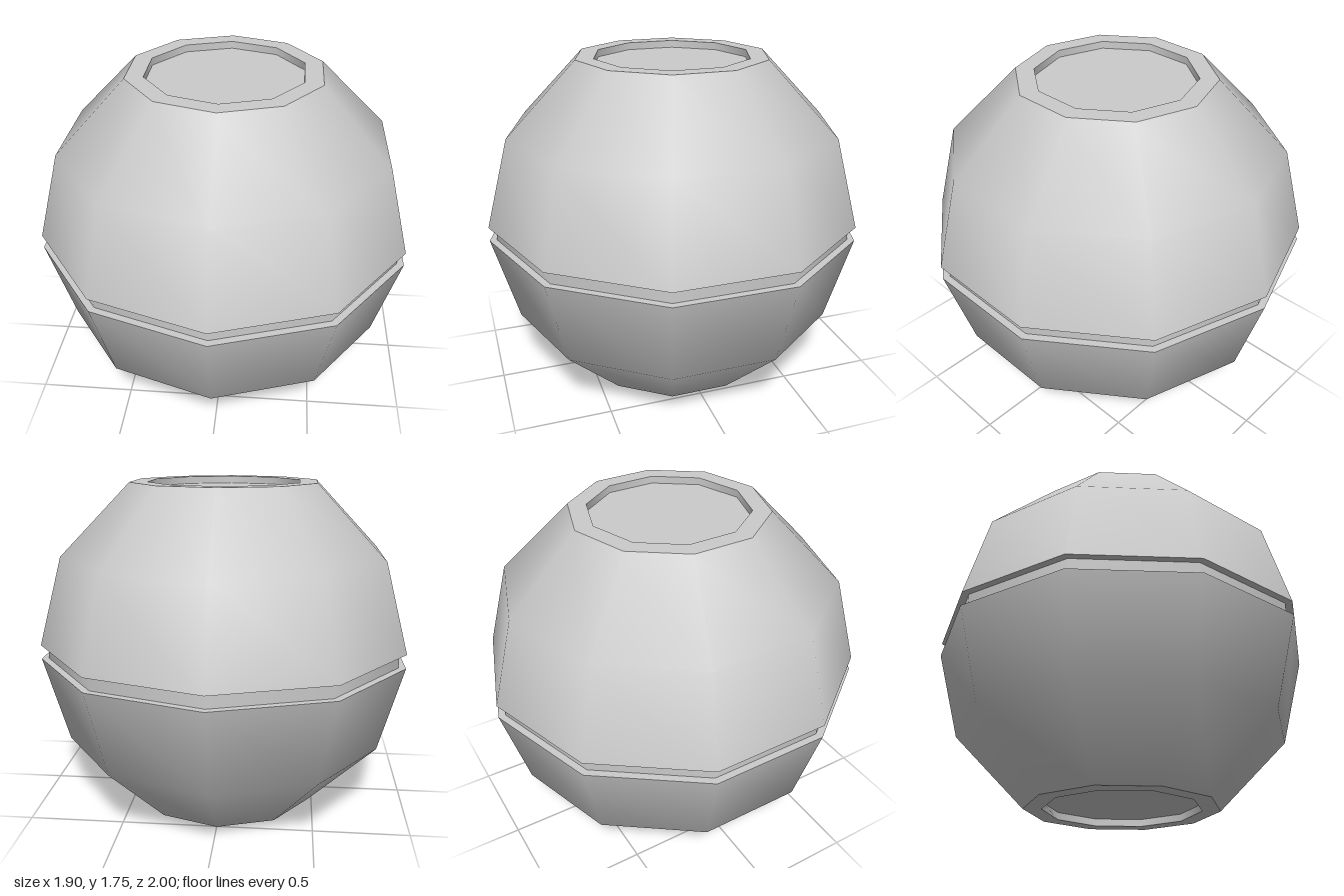
import * as THREE from 'three';
import { mergeGeometries } from 'three/addons/utils/BufferGeometryUtils.js';

const SIDES = 10;
const HEIGHT = 1.75;
const material = new THREE.MeshStandardMaterial({ color: 0xcccccc });

// Each strip is its own lathe: smooth within a strip, sharp between strips.
function latheMesh(name, strips) {
  const parts = strips.map(strip =>
    new THREE.LatheGeometry(strip.map(([r, y]) => new THREE.Vector2(r, y)), SIDES));
  const mesh = new THREE.Mesh(mergeGeometries(parts), material);
  mesh.name = name;
  return mesh;
}

// Mirror strips to the upper half, reversing them so they still face outward.
const mirror = strips => strips.map(s => s.map(([r, y]) => [r, HEIGHT - y]).reverse());

export function createModel() {
  const group = new THREE.Group();
  group.name = 'facetedOrb';

  const rim = 0.505, hole = 0.41, recess = 0.038;
  const seam = 0.838, grooveRadius = 0.962;

  const half = [
    [[0, recess], [hole, recess]],            // recessed floor
    [[hole, recess], [hole, 0]],              // recess wall
    [[hole, 0], [rim, 0]],                    // flat rim
    [[rim, 0], [0.873, 0.372], [1, seam]],    // outer shell
    [[1, seam], [grooveRadius, seam]],        // groove ledge
  ];

  group.add(latheMesh('lowerShell', half));
  group.add(latheMesh('upperShell', mirror(half)));

  // Band at the bottom of the equator groove
  group.add(latheMesh('grooveBand', [
    [[grooveRadius, seam], [grooveRadius, HEIGHT - seam]],
  ]));

  return group;
}
